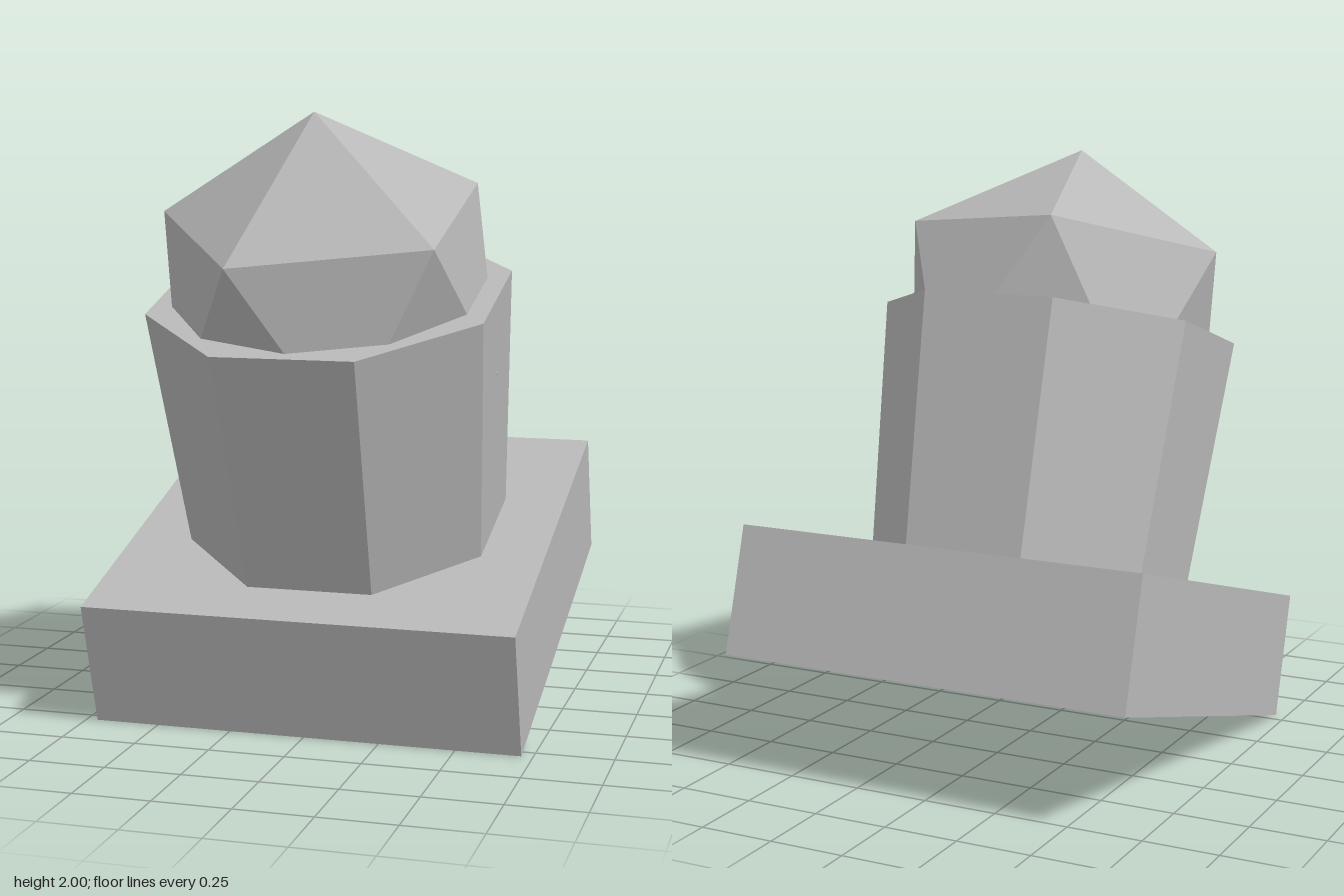
import * as THREE from 'three';

export function createModel() {
  const grey = new THREE.MeshStandardMaterial({ color: 0xb8b8b8 });
  grey.name = 'grey';
  grey.flatShading = true;

  const model = new THREE.Group();
  model.name = 'tiltedPedestal';

  // Everything leans forward together about the centre of the slab's underside
  const leaning = new THREE.Group();
  leaning.name = 'leaningStack';
  leaning.position.set(0, 0.2, -0.128);
  leaning.rotation.x = THREE.MathUtils.degToRad(16.5);
  model.add(leaning);

  const add = (name, geometry, y) => {
    const mesh = new THREE.Mesh(geometry, grey);
    mesh.name = name;
    mesh.position.y = y;
    leaning.add(mesh);
  };

  const slabHeight = 0.43;
  const columnHeight = 0.834;

  // Square slab
  add('base', new THREE.BoxGeometry(1.426, slabHeight, 1.403), slabHeight / 2);

  // Eight-sided column, wider at the top, with a flat face to the front
  const column = new THREE.CylinderGeometry(0.606, 0.546, columnHeight, 8);
  column.rotateY(Math.PI / 8);
  add('column', column, slabHeight + columnHeight / 2);

  // Icosahedron standing on a corner, sunk halfway into the column
  const dome = new THREE.IcosahedronGeometry(0.609, 0);
  dome.rotateZ(Math.PI / 2 - Math.atan((1 + Math.sqrt(5)) / 2));
  add('dome', dome, slabHeight + columnHeight);

  return model;
}
